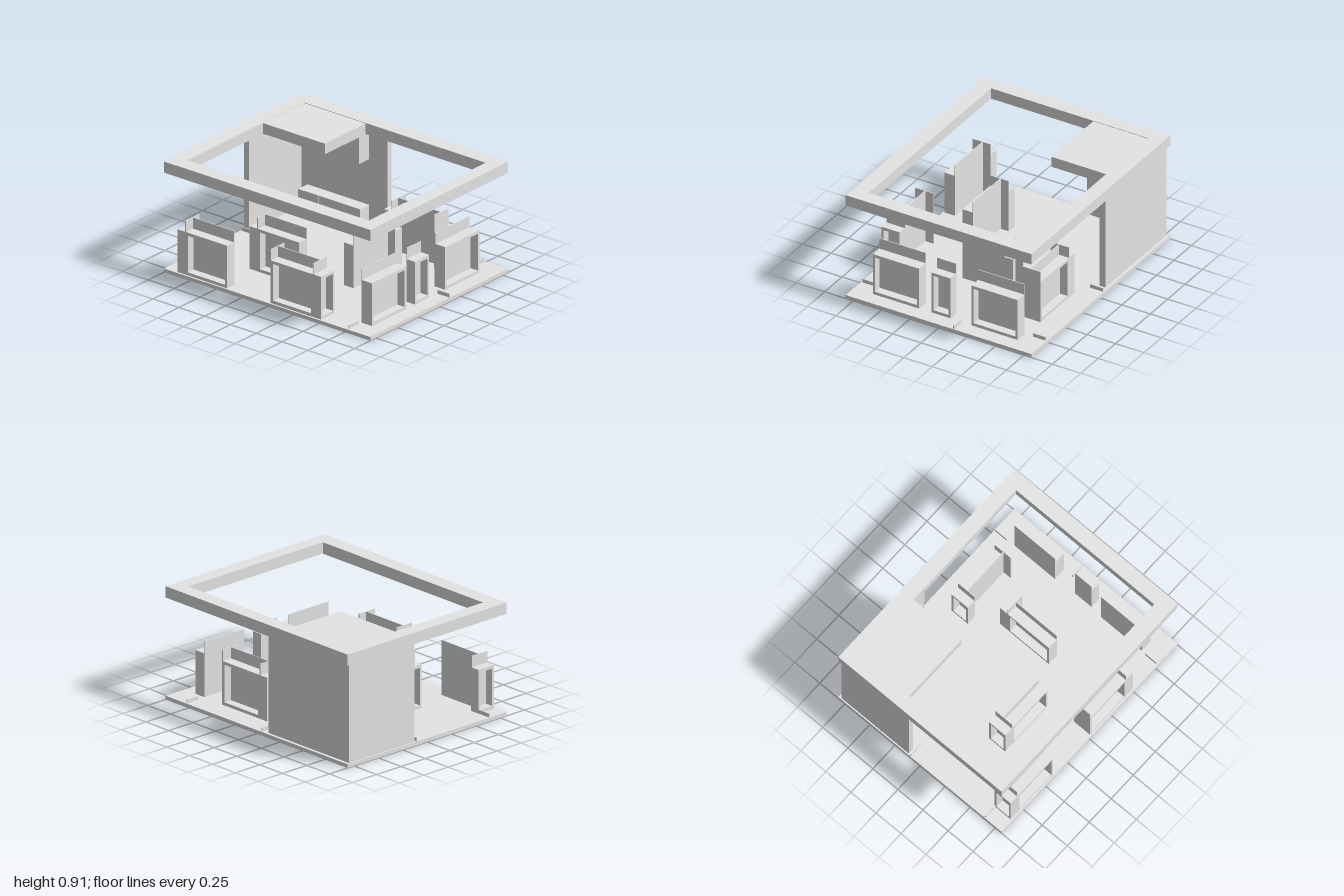
import * as THREE from 'three';

const FLOOR = 0.03, COUNTER_TOP = 0.38, PANEL_TOP = 0.47, ROOF = 0.817, TOP = 0.908;

export function createModel() {
  const model = new THREE.Group();
  model.name = 'marketKiosk';
  const grey = new THREE.MeshStandardMaterial({ color: 0xe4e4e4 });
  grey.name = 'lightGrey';

  // Box given by its minimum and maximum corners
  function box(name, x0, x1, y0, y1, z0, z1, parent = model) {
    const mesh = new THREE.Mesh(new THREE.BoxGeometry(x1 - x0, y1 - y0, z1 - z0), grey);
    mesh.position.set((x0 + x1) / 2, (y0 + y1) / 2, (z0 + z1) / 2);
    mesh.name = name;
    parent.add(mesh);
  }

  // Rectangle outline with a rectangular hole, extruded along z
  function rectPath(path, x0, x1, y0, y1) {
    return path.moveTo(x0, y0).lineTo(x1, y0).lineTo(x1, y1).lineTo(x0, y1).lineTo(x0, y0);
  }
  function frame(outer, inner, depth) {
    const shape = rectPath(new THREE.Shape(), ...outer);
    shape.holes.push(rectPath(new THREE.Path(), ...inner));
    return new THREE.ExtrudeGeometry(shape, { depth, bevelEnabled: false });
  }

  // Display counter: open window box in front of a taller thin back panel.
  // The footprint is given in plan; facing is the direction of the window.
  const turns = { front: 0, right: Math.PI / 2, back: Math.PI, left: -Math.PI / 2 };
  function display(name, x0, x1, z0, z1, facing) {
    const sideways = facing === 'left' || facing === 'right';
    const w = (sideways ? z1 - z0 : x1 - x0) / 2;
    const d = (sideways ? x1 - x0 : z1 - z0) / 2;
    const group = new THREE.Group();
    group.name = name;
    const panel = 0.006, rim = 0.019, recess = 0.068;
    const back = d - recess;
    const cabinet = new THREE.Mesh(
      frame([-w, w, FLOOR, COUNTER_TOP], [-w + rim, w - rim, 0.055, 0.355], recess), grey);
    cabinet.position.z = back;
    cabinet.name = 'windowFrame';
    group.add(cabinet);
    box('cabinetBack', -w, w, FLOOR, COUNTER_TOP, -d + panel, back, group);
    box('backPanel', -w, w, FLOOR, PANEL_TOP, -d, -d + panel, group);
    group.position.set((x0 + x1) / 2, 0, (z0 + z1) / 2);
    group.rotation.y = turns[facing];
    model.add(group);
  }

  // Floor and overhead fascia ring
  box('floor', -1, 1, 0, FLOOR, -0.815, 0.815);
  const ring = new THREE.Mesh(
    frame([-1, 1, -0.815, 0.815], [-0.88, 0.88, -0.686, 0.694], TOP - ROOF), grey);
  ring.rotation.x = -Math.PI / 2;
  ring.position.y = ROOF;
  ring.name = 'fasciaRing';
  model.add(ring);

  // Store corner: two walls and a ceiling
  box('backWall', -0.99, -0.107, FLOOR, ROOF, -0.79, -0.74);
  box('sideWall', -0.99, -0.94, FLOOR, ROOF, -0.74, -0.12);
  box('ceiling', -0.88, -0.28, ROOF, TOP - 0.004, -0.694, -0.212);

  // Three cupboards above and three below along the back wall
  for (let i = 0; i < 3; i++) {
    const x = -0.882 + i * 0.2, right = x + 0.198;
    box('upperCupboard', x, right, 0.595, ROOF, -0.74, -0.62);
    box('lowerCupboard', x, right, FLOOR, 0.22, -0.74, -0.63);
  }

  // Front row
  display('frontLeftDisplay', -0.8, -0.4, 0.71, 0.8, 'front');
  display('frontLeftEnd', -0.88, -0.8, 0.64, 0.8, 'left');
  display('frontRightDisplay', 0.026, 0.43, 0.71, 0.8, 'front');
  display('frontRightEnd', 0.43, 0.51, 0.64, 0.8, 'right');
  box('frontEndPanel', 0.02, 0.026, FLOOR, PANEL_TOP, 0.64, 0.8);

  // Row along the right edge
  display('rightBackDisplay', 0.78, 0.88, -0.622, -0.216, 'right');
  display('rightSmallDisplay', 0.793, 0.877, -0.03, 0.137, 'right');
  display('rightFrontDisplay', 0.78, 0.88, 0.245, 0.65, 'right');

  // Inner displays
  display('innerFrontDisplay', -0.42, -0.02, 0.32, 0.412, 'front');
  display('innerFrontEnd', -0.5, -0.42, 0.25, 0.412, 'left');
  display('innerMiddleDisplay', 0.24, 0.333, -0.21, 0.197, 'left');
  display('innerMiddleEnd', 0.24, 0.402, -0.29, -0.21, 'back');
  display('innerBackDisplay', 0.16, 0.566, -0.633, -0.541, 'back');
  display('innerBackEnd', 0.08, 0.16, -0.633, -0.47, 'left');
  box('backEndPanel', 0.566, 0.572, FLOOR, PANEL_TOP, -0.633, -0.47);

  // Low kerbs around the edge of the floor
  const t = 0.004;
  for (const [x, z] of [[0.775, 0.745], [0.775, -0.75], [-0.05, -0.75]])
    box('kerb', x - t, x + t, FLOOR, 0.06, z - 0.057, z + 0.057);
  for (const [x, z] of [[0.938, -0.13], [-0.938, -0.1], [-0.938, 0.645]])
    box('kerb', x - 0.057, x + 0.057, FLOOR, 0.06, z - t, z + t);

  return model;
}
